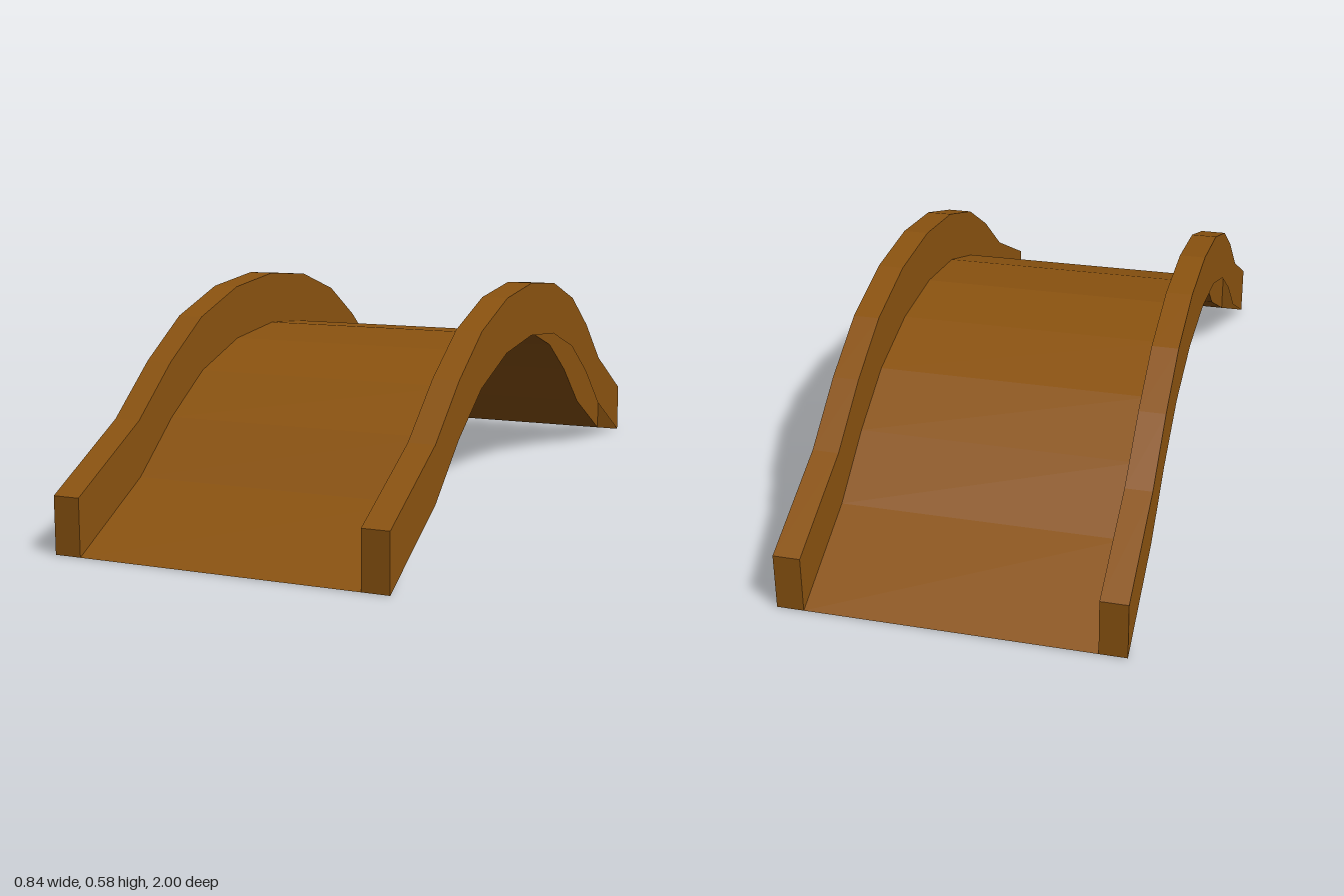
import * as THREE from 'three';

// Half of the arch, from the foot to the crown: [z, y] of the deck line
const HALF = [[1, 0], [0.73, 0.134], [0.573, 0.257], [0.41, 0.354], [0.213, 0.415], [0, 0.435]];
const ARCH = [...HALF, ...HALF.slice(0, -1).reverse().map(([z, y]) => [-z, y])];
const INNER = 0.353, OUTER = 0.42, RAIL_HEIGHT = 0.141;

// Sweeps an open cross-section of [x, height] points, left to right, along the arch
function sweep(section) {
  const pos = [];
  for (let i = 0; i < ARCH.length - 1; i++) {
    for (let j = 0; j < section.length - 1; j++) {
      const at = (k, s) => [section[s][0], ARCH[k][1] + section[s][1], ARCH[k][0]];
      const a = at(i, j), b = at(i, j + 1), c = at(i + 1, j + 1), d = at(i + 1, j);
      pos.push(...a, ...b, ...c, ...a, ...c, ...d);
    }
  }
  const geo = new THREE.BufferGeometry();
  geo.setAttribute('position', new THREE.Float32BufferAttribute(pos, 3));
  geo.computeVertexNormals();
  return geo;
}

export function createModel() {
  const wood = new THREE.MeshStandardMaterial({ color: 0x8b5310 });
  wood.name = 'brown wood';
  wood.side = THREE.DoubleSide;
  wood.flatShading = true;

  const model = new THREE.Group();
  model.name = 'archedBridge';
  const add = (parent, name, geo) => {
    const mesh = new THREE.Mesh(geo, wood);
    mesh.name = name;
    parent.add(mesh);
    return mesh;
  };

  // Walkway: a single curved sheet
  add(model, 'deck', sweep([[-INNER, 0], [INNER, 0]]));

  // Side rails: hollow, open underneath, closed at both ends
  for (const side of [-1, 1]) {
    const rail = new THREE.Group();
    rail.name = side > 0 ? 'leftRail' : 'rightRail';
    const [x0, x1] = side > 0 ? [INNER, OUTER] : [-OUTER, -INNER];
    add(rail, 'railBody', sweep([[x0, 0], [x0, RAIL_HEIGHT], [x1, RAIL_HEIGHT], [x1, 0]]));
    for (const end of [-1, 1]) {
      const cap = add(rail, end > 0 ? 'frontCap' : 'backCap', new THREE.PlaneGeometry(x1 - x0, RAIL_HEIGHT));
      cap.position.set((x0 + x1) / 2, RAIL_HEIGHT / 2, end);
      if (end < 0) cap.rotation.y = Math.PI;
    }
    model.add(rail);
  }
  return model;
}
